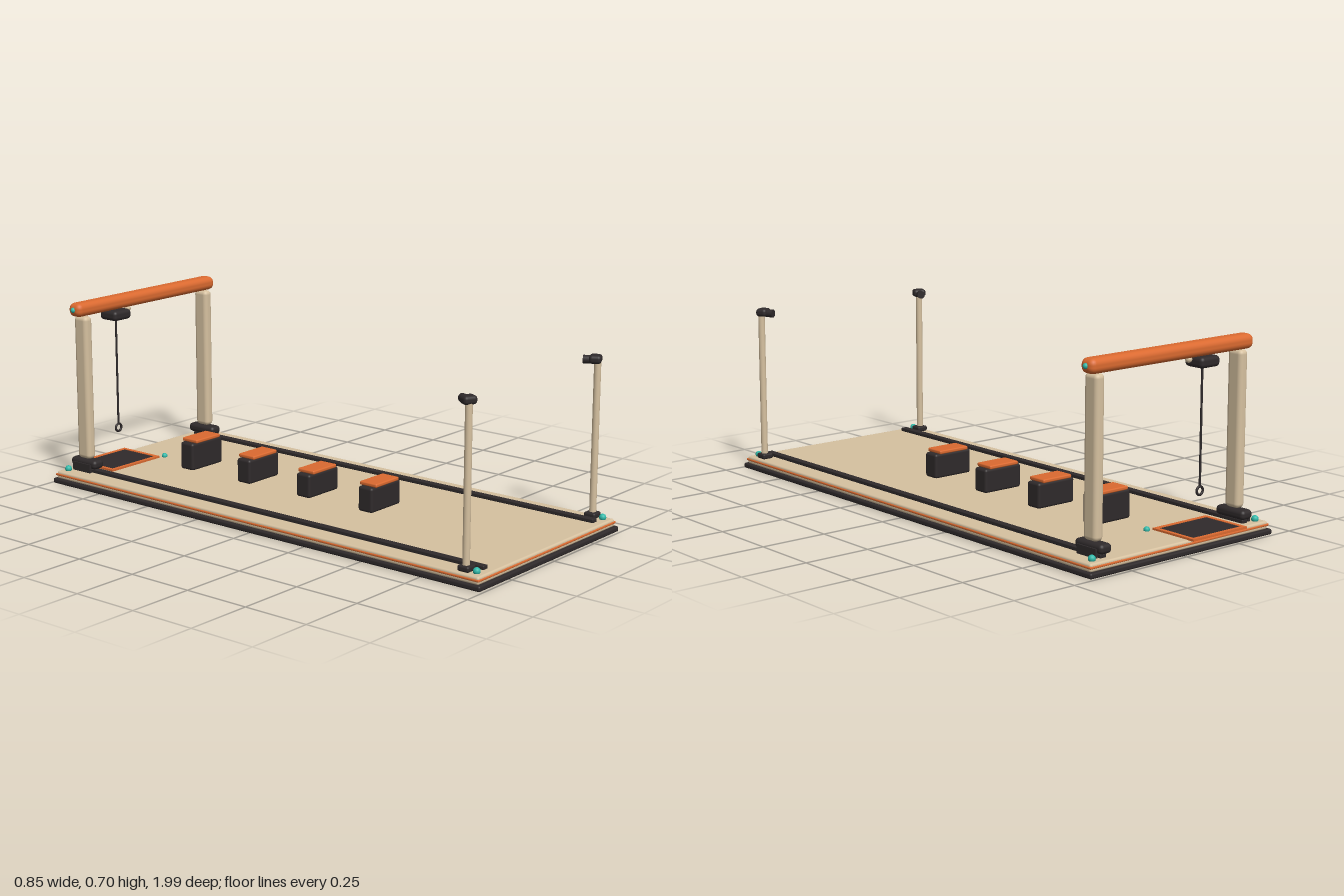
import * as THREE from 'three';
import { RoundedBoxGeometry } from 'three/addons/geometries/RoundedBoxGeometry.js';

const material = (name, color) => {
  const m = new THREE.MeshStandardMaterial({ color });
  m.name = name;
  return m;
};

export function createModel() {
  const model = new THREE.Group();
  model.name = 'trainingPlatform';
  const beige = material('warm beige', 0xd6c1a0);
  const orange = material('burnt orange', 0xdb6a30);
  const dark = material('charcoal', 0x2f2a2b);
  const teal = material('teal light', 0x2fb8a8);

  const add = (name, geometry, mat, x, y, z, parent = model) => {
    const mesh = new THREE.Mesh(geometry, mat);
    mesh.name = name;
    mesh.position.set(x, y, z);
    parent.add(mesh);
    return mesh;
  };
  const box = (name, mat, w, h, d, x, y, z, r = 0, parent = model) =>
    add(name, r ? new RoundedBoxGeometry(w, h, d, 3, r) : new THREE.BoxGeometry(w, h, d), mat, x, y, z, parent);
  const ball = (name, mat, r, x, y, z) => add(name, new THREE.SphereGeometry(r, 16, 12), mat, x, y, z);
  const rod = (name, mat, r, h, x, y, z, parent = model) =>
    add(name, new THREE.CylinderGeometry(r, r, h, 20), mat, x, y, z, parent);

  // Layered base: dark underside, pale deck, orange edge band
  box('baseSlab', dark, 0.846, 0.02, 1.984, 0, 0.01, 0, 0.007);
  box('deck', beige, 0.826, 0.029, 1.96, 0, 0.0325, 0, 0.008);
  box('edgeBand', orange, 0.832, 0.008, 1.966, 0, 0.034, 0, 0.003);

  for (const s of [-1, 1]) {
    // Floor rail
    box('rail', dark, 0.026, 0.014, 1.9, s * 0.33, 0.053, 0, 0.003);

    // Corner lights
    for (const z of [-0.95, 0.95]) ball('cornerLight', teal, 0.013, s * 0.38, 0.054, z);

    // Gantry post with its sliding foot
    box('gantryFoot', dark, 0.052, 0.034, 0.13, s * 0.328, 0.078, -0.9, 0.014);
    box('footFlange', dark, 0.009, 0.032, 0.09, s * 0.356, 0.064, -0.9);
    box('gantryPost', beige, 0.04, 0.55, 0.064, s * 0.329, 0.37, -0.9, 0.016);
    ball('beamEndLight', teal, 0.01, s * 0.373, 0.672, -0.905);

    // Front sensor pole
    box('poleFoot', dark, 0.046, 0.021, 0.046, s * 0.379, 0.057, 0.908, 0.007);
    rod('sensorPole', beige, 0.0125, 0.55, s * 0.381, 0.335, 0.908);

    // Sensor head, aimed inward along the deck
    const head = new THREE.Group();
    head.name = 'sensorHead';
    head.position.set(s * 0.376, 0.618, 0.902);
    head.rotation.y = s * 0.45;
    box('sensorBody', dark, 0.05, 0.03, 0.044, 0, 0, 0, 0.012, head);
    const lens = rod('sensorLens', dark, 0.015, 0.03, 0, -0.003, -0.028, head);
    lens.rotation.x = Math.PI / 2;
    model.add(head);
  }

  // Cross beam
  box('crossBeam', orange, 0.748, 0.052, 0.062, 0, 0.671, -0.905, 0.022);

  // Hanging pull ring
  box('hoistBlock', dark, 0.09, 0.038, 0.084, -0.158, 0.625, -0.9, 0.014);
  rod('pullCord', dark, 0.004, 0.415, -0.158, 0.402, -0.9);
  add('pullRing', new THREE.TorusGeometry(0.0145, 0.0045, 10, 28), dark, -0.158, 0.18, -0.9);
  ball('beamKnob', beige, 0.012, -0.093, 0.637, -0.9);

  // Row of stepping blocks: [z, top height]
  for (const [z, top] of [[0.252, 0.151], [-0.036, 0.147], [-0.325, 0.151], [-0.613, 0.164]]) {
    const h = top - 0.013 - 0.045;
    box('stepBlock', dark, 0.168, h, 0.064, 0, 0.045 + h / 2, z, 0.01);
    box('stepPad', orange, 0.132, 0.014, 0.076, 0, top - 0.007, z, 0.005);
  }

  // Landing mat: dark sheet inside an orange border
  box('matSheet', dark, 0.25, 0.005, 0.18, -0.158, 0.0495, -0.904);
  for (const s of [-1, 1]) {
    box('matBorderLong', orange, 0.256, 0.008, 0.015, -0.158, 0.05, -0.904 + s * 0.0885);
    box('matBorderShort', orange, 0.015, 0.008, 0.162, -0.158 + s * 0.1205, 0.05, -0.904);
  }
  ball('matLight', teal, 0.011, -0.007, 0.051, -0.803);

  return model;
}
